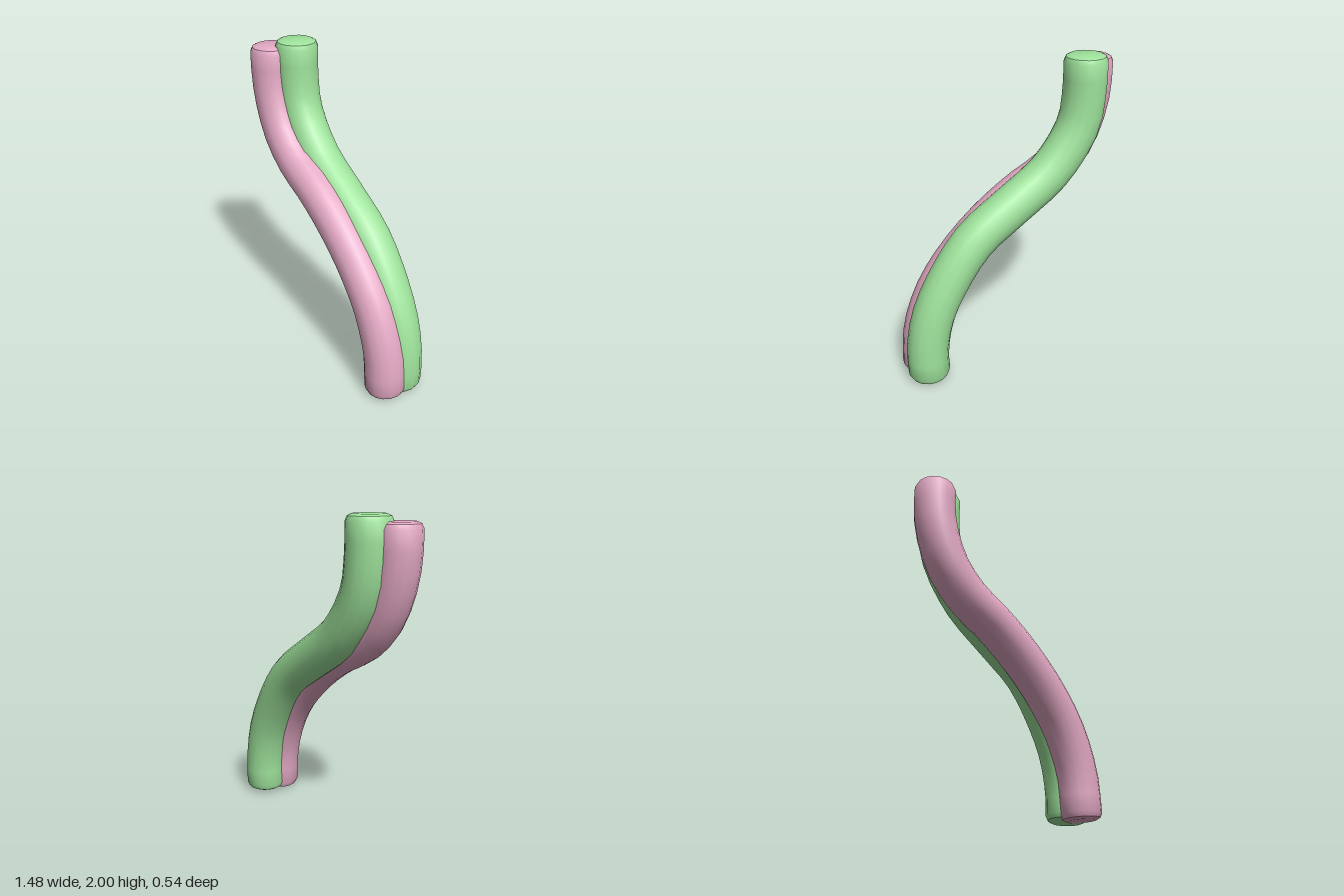
import * as THREE from 'three';
import { toCreasedNormals } from 'three/addons/utils/BufferGeometryUtils.js';

const SIDES = 16, STEPS = 22;

// Round bar swept along a curve lying in one upright plane, with softly bevelled ends.
function sweptBar(points, z0, slope, radius) {
  const x0 = points[0][0];
  const curve = new THREE.CatmullRomCurve3(
    points.map(([x, y]) => new THREE.Vector3(x, y, z0 + (x - x0) * slope)));
  const side = new THREE.Vector3(-slope, 0, 1).normalize();

  // stations along the curve: [parameter, radius]
  const stations = [[0, 0], [0, radius * 0.72], [0.005, radius * 0.9], [0.017, radius]];
  for (let i = 1; i < STEPS; i++) stations.push([0.017 + 0.966 * i / STEPS, radius]);
  stations.push([0.983, radius], [0.995, radius * 0.9], [1, radius * 0.72], [1, 0]);

  const position = [], index = [];
  stations.forEach(([t, r], row) => {
    const center = curve.getPointAt(t);
    const normal = new THREE.Vector3().crossVectors(side, curve.getTangentAt(t)).normalize();
    for (let j = 0; j < SIDES; j++) {
      const a = 2 * Math.PI * j / SIDES;
      const p = center.clone()
        .addScaledVector(normal, r * Math.cos(a))
        .addScaledVector(side, r * Math.sin(a));
      position.push(p.x, p.y, p.z);
      if (row === 0) continue;
      const k = (j + 1) % SIDES, lo = (row - 1) * SIDES, hi = row * SIDES;
      // end rows collapse to a point, so they need one triangle per side
      if (row > 1) index.push(lo + j, lo + k, hi + j);
      if (row < stations.length - 1) index.push(lo + k, hi + k, hi + j);
    }
  });
  const geometry = new THREE.BufferGeometry();
  geometry.setAttribute('position', new THREE.Float32BufferAttribute(position, 3));
  geometry.setIndex(index);
  // keep the faces pointing outward whichever way the frame turns
  const v = (i) => new THREE.Vector3().fromArray(position, index[i] * 3);
  const m = Math.floor(index.length / 6) * 3;
  const face = v(m + 1).sub(v(m)).cross(v(m + 2).sub(v(m)));
  const row = Math.floor(index[m] / SIDES);
  const out = v(m).sub(curve.getPointAt(stations[row][0]));
  if (face.dot(out) < 0) geometry.setIndex(index.reverse());
  return toCreasedNormals(geometry, 0.6);
}

export function createModel() {
  const group = new THREE.Group();
  const pink = new THREE.MeshStandardMaterial({ name: 'pink', color: 0xe2a8c3 });
  const green = new THREE.MeshStandardMaterial({ name: 'green', color: 0x9ee29b });

  // front bar, x and y of the centre line from top to bottom
  const frontBar = new THREE.Mesh(sweptBar([
    [-0.61, 1.96], [-0.61, 1.8], [-0.585, 1.63], [-0.49, 1.41], [-0.33, 1.25], [-0.12, 1.135],
    [0.1, 0.98], [0.3, 0.79], [0.46, 0.57], [0.56, 0.3], [0.585, 0.01],
  ], -0.04, 0.15, 0.132), pink);
  frontBar.name = 'frontBar';

  // back bar, slightly thicker and taller
  const backBar = new THREE.Mesh(sweptBar([
    [-0.478, 2], [-0.478, 1.78], [-0.44, 1.56], [-0.26, 1.3], [0.02, 1.1],
    [0.26, 0.93], [0.44, 0.69], [0.555, 0.45], [0.602, 0.2], [0.598, 0.015],
  ], -0.137, 0.145, 0.135), green);
  backBar.name = 'backBar';

  group.add(frontBar, backBar);
  return group;
}
